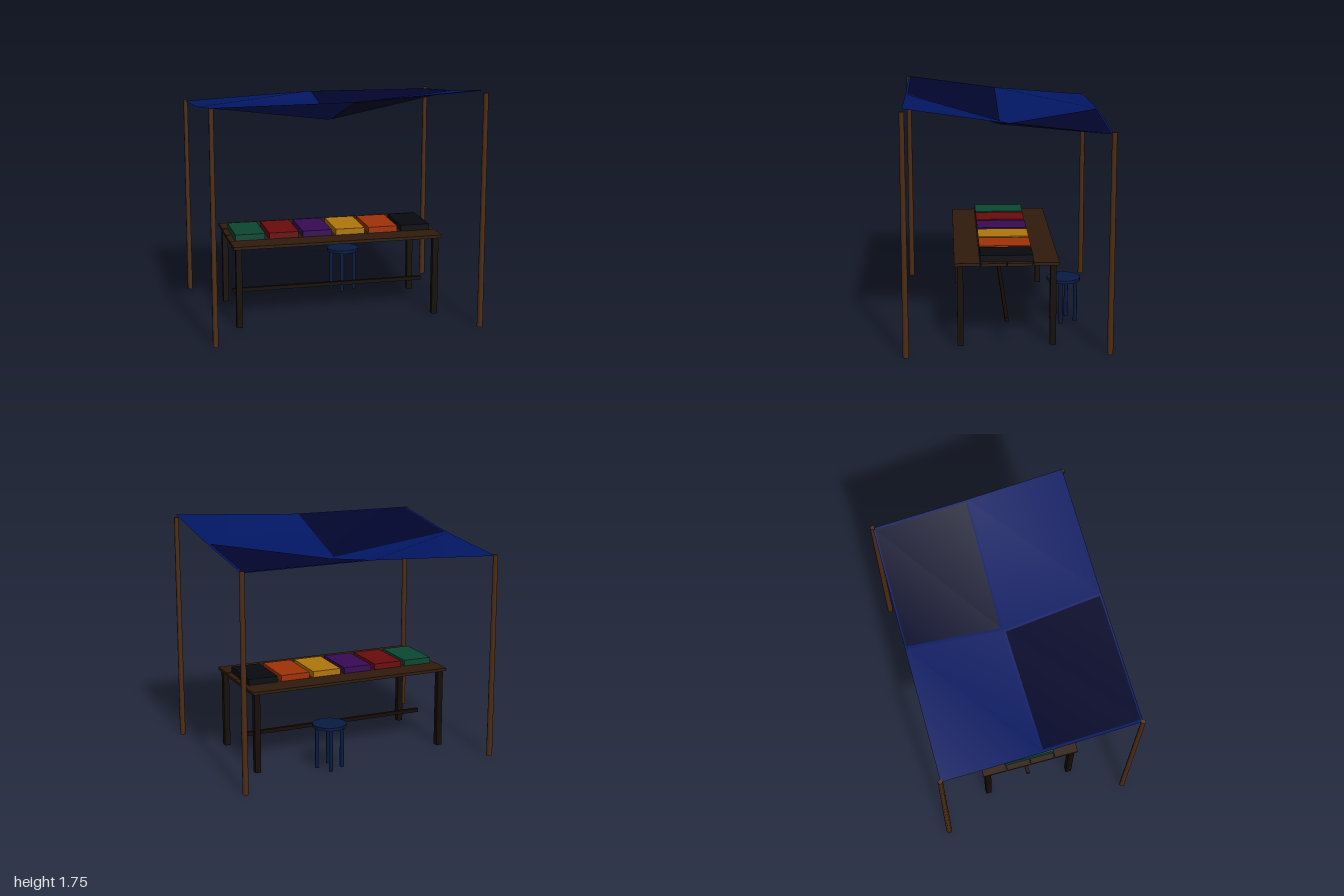
import * as THREE from 'three';

const mat = (color, extra = {}) => new THREE.MeshStandardMaterial({ color, ...extra });
const poleWood = mat(0x4f2d14), tableWood = mat(0x301b0c), darkWood = mat(0x140a05);
const stoolBlue = mat(0x081c42);
const clothBlue = mat(0x021764, { side: THREE.DoubleSide });
const clothDark = mat(0x02052c, { side: THREE.DoubleSide });

function add(parent, name, geometry, material, x = 0, y = 0, z = 0) {
  const mesh = new THREE.Mesh(geometry, material);
  mesh.name = name;
  mesh.position.set(x, y, z);
  parent.add(mesh);
}

function group(parent, name) {
  const g = new THREE.Group();
  g.name = name;
  parent.add(g);
  return g;
}

const box = (w, h, d) => new THREE.BoxGeometry(w, h, d);

// Canopy heights, rows from back to front, columns from -x to +x
const W = 0.98, D = 0.712;
const H = [
  [1.53, 1.575, 1.565],
  [1.59, 1.46, 1.648],
  [1.69, 1.695, 1.752],
];

// Height inside one canopy quarter, following its two triangles
function quarterHeight(col, row, u, v) {
  const a = H[row][col], b = H[row + 1][col], c = H[row + 1][col + 1], d = H[row][col + 1];
  return u + v < 1
    ? a + u * (d - a) + v * (b - a)
    : c + (1 - u) * (b - c) + (1 - v) * (d - c);
}

function canopy(root) {
  const g = group(root, 'canopy');
  const sheet = new THREE.PlaneGeometry(2 * W, 2 * D, 2, 2).rotateX(-Math.PI / 2);
  H.flat().forEach((h, i) => sheet.attributes.position.setY(i, h));
  sheet.computeVertexNormals();
  add(g, 'canopySheet', sheet, clothBlue);

  // Dark panels: on top of two opposite quarters, underneath the others
  for (const row of [0, 1]) for (const col of [0, 1]) {
    const lift = row === col ? -0.004 : 0.004;
    const panel = new THREE.PlaneGeometry(1, 1).rotateX(-Math.PI / 2);
    const p = panel.attributes.position;
    for (let i = 0; i < p.count; i++) {
      const u = 0.5 + p.getX(i) * 0.96, v = 0.5 + p.getZ(i) * 0.96;
      p.setXYZ(i, (col - 1 + u) * W, quarterHeight(col, row, u, v) + lift, (row - 1 + v) * D);
    }
    panel.computeVertexNormals();
    add(g, 'canopyPanel', panel, clothDark);
  }
}

function poles(root) {
  const g = group(root, 'poles');
  for (const [x, z, h] of [[-1, -1, 1.54], [1, -1, 1.58], [-1, 1, 1.69], [1, 1, 1.73]]) {
    add(g, 'pole', new THREE.CylinderGeometry(0.018, 0.022, h, 6), poleWood, x * 0.978, h / 2, z * 0.714);
  }
}

function table(root) {
  const g = group(root, 'table');
  // Four planks with narrow gaps; the outer two sit slightly higher
  for (let i = 0; i < 4; i++) {
    const y = i === 0 || i === 3 ? 0.606 : 0.603;
    add(g, 'plank', box(1.57, 0.022, 0.181), tableWood, 0, y, (i - 1.5) * 0.187);
  }
  for (const x of [-1, 1]) for (const z of [-1, 1]) {
    add(g, 'tableLeg', box(0.044, 0.595, 0.044), darkWood, x * 0.745, 0.2975, z * 0.33);
  }
  add(g, 'stretcher', box(1.48, 0.028, 0.026), darkWood, 0, 0.183, 0);
}

function goods(root) {
  const g = group(root, 'goods');
  const colors = [0x0c4731, 0x6a0c0e, 0x380b55, 0xb0760c, 0xa03208, 0x080a10];
  colors.forEach((c, i) =>
    add(g, 'foldedCloth', box(0.222, 0.048, 0.375), mat(c), (i - 2.5) * 0.253, 0.637, 0));
}

function stool(root) {
  const g = group(root, 'stool');
  g.position.set(0.225, 0, -0.453);
  add(g, 'stoolSeat', new THREE.CylinderGeometry(0.126, 0.126, 0.022, 16), stoolBlue, 0, 0.329, 0);
  for (let i = 0; i < 4; i++) {
    const a = 0.31 + i * Math.PI / 2;
    add(g, 'stoolLeg', new THREE.CylinderGeometry(0.015, 0.015, 0.32, 6), stoolBlue,
      Math.cos(a) * 0.091, 0.16, Math.sin(a) * 0.091);
  }
}

export function createModel() {
  const root = new THREE.Group();
  root.name = 'marketStall';
  canopy(root);
  poles(root);
  table(root);
  goods(root);
  stool(root);
  return root;
}
